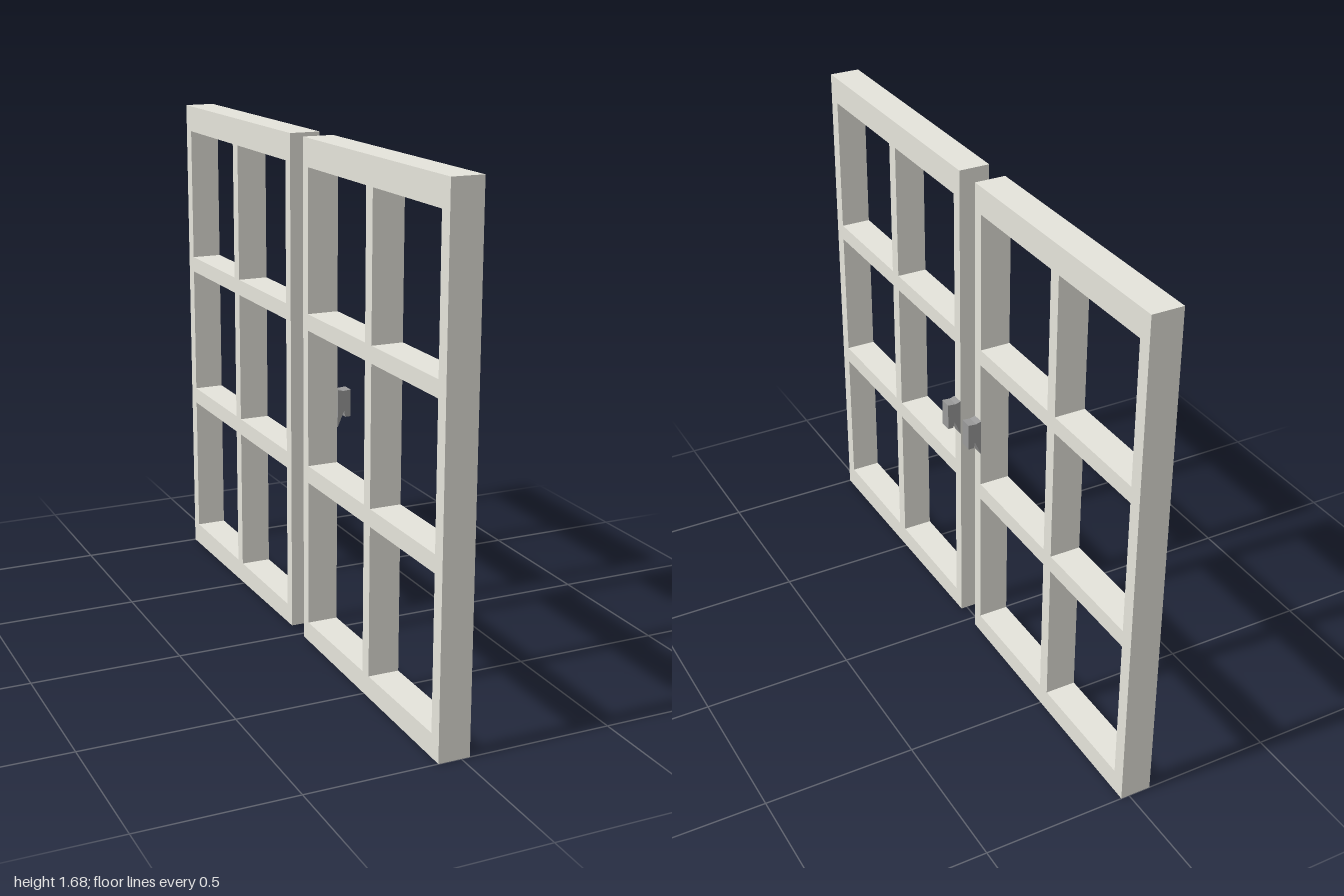
import * as THREE from 'three';

const frameMaterial = new THREE.MeshStandardMaterial({ color: 0xe5e4db });
frameMaterial.name = 'pale grey paint';
const handleMaterial = new THREE.MeshStandardMaterial({ color: 0x9a9a9a });
handleMaterial.name = 'grey metal';

const FRONT = 0.028, DEPTH = 0.103;
const columns = [[0.088, 0.5], [0.543, 0.955]];
const rows = [[0.077, 0.568], [0.625, 1.076], [1.13, 1.595]];

const outline = (points, Type) => new Type(points.map(([a, b]) => new THREE.Vector2(a, b)));

// One sash with six openings; the bottom edge rises slightly to the middle
function createSash(side) {
  const corners = [[side, 0], [side * 0.05, 0.012], [side * 0.05, 1.685], [side, 1.685]];
  if (side > 0) corners.reverse(); // keep the outline counter-clockwise on both sides
  const shape = outline(corners, THREE.Shape);
  for (const [z0, z1] of columns) {
    for (const [y0, y1] of rows) {
      shape.holes.push(outline([[side * z0, y0], [side * z0, y1], [side * z1, y1], [side * z1, y0]], THREE.Path));
    }
  }
  const geometry = new THREE.ExtrudeGeometry(shape, { depth: DEPTH, bevelEnabled: false });
  geometry.rotateY(-Math.PI / 2); // shape x runs along z, depth runs towards -x
  geometry.translate(FRONT, 0, 0);
  return new THREE.Mesh(geometry, frameMaterial);
}

// Hooked pull with a tapering foot against the stile
function createHandle(side) {
  const shape = outline([
    [FRONT, 0.745], [0.051, 0.798], [0.055, 0.777], [0.074, 0.777],
    [0.074, 0.867], [0.047, 0.865], [FRONT, 0.87],
  ], THREE.Shape);
  const geometry = new THREE.ExtrudeGeometry(shape, { depth: 0.042, bevelEnabled: false });
  geometry.translate(0, 0, side > 0 ? 0.05 : -0.092);
  return new THREE.Mesh(geometry, handleMaterial);
}

export function createModel() {
  const model = new THREE.Group();
  model.name = 'doubleWindow';
  for (const side of [1, -1]) {
    const label = side > 0 ? 'front' : 'back';
    const panel = new THREE.Group();
    panel.name = label + 'Panel';
    const sash = createSash(side);
    sash.name = label + 'Sash';
    const handle = createHandle(side);
    handle.name = label + 'Handle';
    panel.add(sash, handle);
    model.add(panel);
  }
  return model;
}
